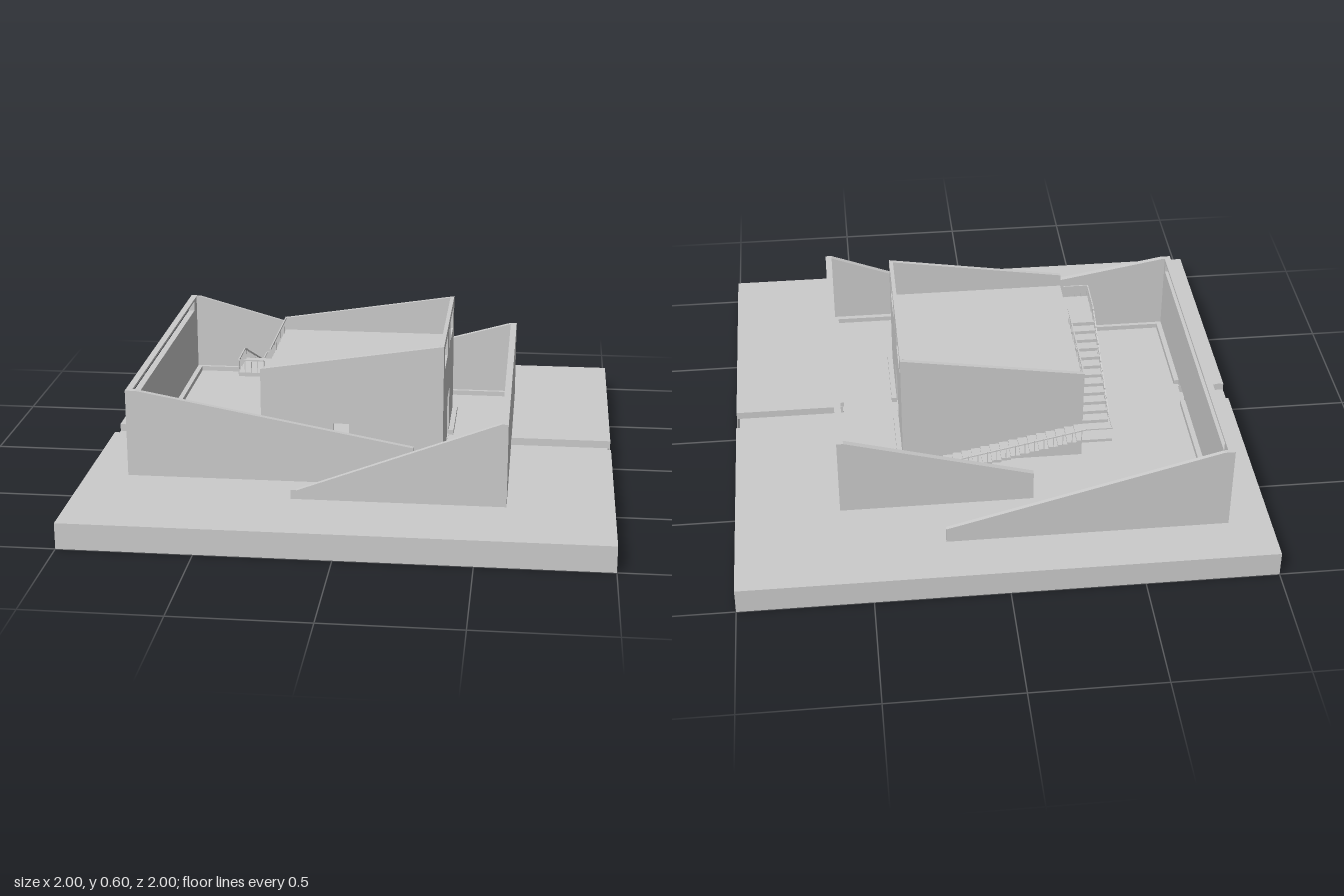
import * as THREE from 'three';

const material = new THREE.MeshStandardMaterial({ color: 0xcccccc, flatShading: true, side: THREE.DoubleSide });

export function createModel() {
  const root = new THREE.Group();

  const add = (name, geometry, parent = root) => {
    const mesh = new THREE.Mesh(geometry, material);
    mesh.name = name;
    parent.add(mesh);
    return mesh;
  };
  const group = (name) => {
    const g = new THREE.Group();
    g.name = name;
    root.add(g);
    return g;
  };
  const rect = (a, b, c, d) => [[a, c], [b, c], [b, d], [a, d]];
  const extrude = (pts, holes, depth, flip = 1) => {
    const v = (list) => list.map(([a, b]) => new THREE.Vector2(a * flip, b));
    const shape = new THREE.Shape(v(pts));
    holes.forEach((h) => shape.holes.push(new THREE.Path(v(h))));
    return new THREE.ExtrudeGeometry(shape, { depth, bevelEnabled: false });
  };
  // Wall outlined in (x, y), thick in z
  const wallX = (name, pts, z0, z1, holes = [], parent = root) =>
    add(name, extrude(pts, holes, z1 - z0).translate(0, 0, z0), parent);
  // Wall outlined in (z, y), thick in x
  const wallZ = (name, pts, x0, x1, holes = [], parent = root) =>
    add(name, extrude(pts, holes, x1 - x0, -1).rotateY(Math.PI / 2).translate(x0, 0, 0), parent);
  // Floor outlined in (x, z)
  const floor = (name, pts, top, thick, holes = [], parent = root) =>
    add(name, extrude(pts, holes, thick).rotateX(Math.PI / 2).translate(0, top, 0), parent);
  const box = (name, x0, x1, y0, y1, z0, z1, parent = root) =>
    add(name, new THREE.BoxGeometry(x1 - x0, y1 - y0, z1 - z0)
      .translate((x0 + x1) / 2, (y0 + y1) / 2, (z0 + z1) / 2), parent);
  const bar = (name, a, b, r, parent) => {
    const p = new THREE.Vector3(...a), q = new THREE.Vector3(...b);
    const m = add(name, new THREE.BoxGeometry(r, r, p.distanceTo(q)), parent);
    m.position.copy(p).lerp(q, 0.5);
    m.lookAt(q);
  };

  // Hollow ground slab with an approach channel on each side
  const ground = group('groundSlab');
  const t = 0.002, w = 0.05;
  floor('groundTop', [[-1, -1], [1, -1], [1, -w], [0.57, -w], [0.57, w], [1, w], [1, 1], [-1, 1],
    [-1, w], [-0.81, w], [-0.81, -w], [-1, -w]], 0.1, t, [], ground);
  for (const s of [-1, 1]) {
    wallX('groundEdge', rect(-1, 1, 0, 0.1), s > 0 ? 1 - t : -1, s > 0 ? 1 : -1 + t, [], ground);
    wallZ('groundEdge', [[-1, 0], [1, 0], [1, 0.1], [w, 0.1], [w, 0.07], [-w, 0.07], [-w, 0.1], [-1, 0.1]],
      s > 0 ? 1 - t : -1, s > 0 ? 1 : -1 + t, [], ground);
    box('channelSide', 0.57, 1, 0.07, 0.1, s * w - t / 2, s * w + t / 2, ground);
    box('channelSide', -1, -0.35, 0.07, 0.099, s * w - t / 2, s * w + t / 2, ground);
  }
  box('channelFloor', 0.57, 0.99, 0.068, 0.07, -w, w, ground);
  box('channelFloor', -1, -0.35, 0.068, 0.07, -w, w, ground);

  // Foundation ring below the house, open towards the right channel
  const base = group('foundation');
  box('foundationWall', -0.37, 0.37, 0, 0.098, 0.36, 0.37, base);
  box('foundationWall', -0.37, 0.37, 0, 0.098, -0.36, -0.35, base);
  box('foundationWall', -0.37, -0.36, 0, 0.098, -0.35, 0.36, base);
  box('foundationWall', 0.36, 0.37, 0, 0.098, -0.35, -0.06, base);
  box('foundationWall', 0.36, 0.37, 0, 0.098, 0.06, 0.36, base);

  // Outer walls: two U-shaped screens with sloping arms
  const outer = group('outerWalls');
  const passage = rect(-w, w, 0.1, 0.12);
  const gateWall = (z0, z1, h) =>
    [[z0, 0.1], [-w, 0.1], [-w, 0.12], [w, 0.12], [w, 0.1], [z1, 0.1], [z1, h], [z0, h]];
  wallZ('leftScreen', gateWall(-0.81, 0.51, 0.44), -0.84, -0.815, [rect(-0.74, 0.47, 0.39, 0.43)], outer);
  wallX('leftScreenFrontArm', [[-0.815, 0.1], [0.25, 0.1], [0.25, 0.25], [-0.8, 0.44], [-0.815, 0.44]], 0.49, 0.51, [], outer);
  wallX('leftScreenBackArm', [[-0.815, 0.1], [0.22, 0.1], [0.22, 0.16], [-0.8, 0.44], [-0.815, 0.44]], -0.81, -0.795, [], outer);
  wallZ('rightScreen', gateWall(-0.595, 0.685, 0.42), 0.58, 0.605, [], outer);
  wallX('rightScreenFrontArm', [[-0.18, 0.1], [0.58, 0.1], [0.58, 0.42], [-0.18, 0.13]], 0.665, 0.685, [], outer);
  wallX('rightScreenBackArm', [[-0.13, 0.1], [0.58, 0.1], [0.58, 0.42], [-0.13, 0.22]], -0.595, -0.575, [], outer);
  box('wallEndPost', -0.19, -0.17, 0.1, 0.135, 0.665, 0.685, outer);

  // Low kerbs along walls and house: x0, x1, z0, z1
  const kerbs = group('kerbs');
  [[-0.815, -0.795, -0.78, -0.07], [-0.815, -0.795, 0.065, 0.475],
    [-0.815, -0.295, 0.475, 0.49], [-0.28, 0.22, 0.475, 0.49],
    [-0.815, -0.295, -0.795, -0.78], [-0.28, 0.22, -0.795, -0.78],
    [0.565, 0.58, -0.56, -w], [0.565, 0.58, w, 0.645],
    [-0.17, 0.58, 0.645, 0.665], [-0.13, 0.58, -0.575, -0.56],
    [-0.38, 0.37, 0.35, 0.37], [-0.38, -0.35, 0.25, 0.35],
    [0.35, 0.37, 0.06, 0.35], [0.35, 0.37, -0.35, -0.06],
    [-0.025, -0.015, 0.37, 0.475],
  ].forEach(([x0, x1, z0, z1]) => box('kerb', x0, x1, 0.1, 0.12, z0, z1, kerbs));

  // House with sloping parapets and a sunken flat roof
  const house = group('house');
  const side = [[-0.35, 0.1], [0.35, 0.1], [0.35, 0.6], [-0.35, 0.49]];
  wallX('frontWall', side, 0.335, 0.35, [rect(-0.07, -0.01, 0.102, 0.28)], house);
  wallX('backWall', side, -0.35, -0.335, [], house);
  wallZ('rightWall', rect(-0.335, 0.335, 0.1, 0.6), 0.335, 0.35, [
    rect(0.09, 0.28, 0.485, 0.57), rect(-0.275, -0.085, 0.485, 0.57),
    rect(-0.015, 0.015, 0.485, 0.57), rect(-0.07, 0.07, 0.102, 0.3)], house);
  wallZ('leftWall', rect(-0.335, 0.335, 0.1, 0.44), -0.35, -0.335, [rect(0.17, 0.24, 0.102, 0.28)], house);
  floor('roof', rect(-0.335, 0.335, -0.335, 0.335), 0.44, 0.02, [], house);

  // Stair wrapping the back and left sides
  const stairs = group('stairs');
  const r = 0.003, railH = 0.05, turnY = 0.25;
  const backSteps = 19, leftSteps = 12;
  for (let i = 0; i < backSteps; i++) {
    const d = 0.69 / backSteps, x = 0.34 - i * d, y = 0.1 + (turnY - 0.1) * (i + 1) / backSteps;
    box('backTread', x - d, x, y - 0.012, y, -0.45, -0.35, stairs);
    bar('baluster', [x - d / 2, y, -0.449], [x - d / 2, y + railH, -0.449], r, stairs);
  }
  box('cornerLanding', -0.45, -0.35, turnY - 0.012, turnY, -0.45, -0.35, stairs);
  for (let i = 0; i < leftSteps; i++) {
    const d = 0.45 / leftSteps, z = -0.35 + i * d, y = turnY + (0.44 - turnY) * (i + 1) / leftSteps;
    box('leftTread', -0.45, -0.35, y - 0.014, y, z, z + d, stairs);
    bar('baluster', [-0.449, y, z + d / 2], [-0.449, y + railH, z + d / 2], r, stairs);
    bar('roofBaluster', [-0.349, 0.44, z], [-0.349, 0.49, z], r, stairs);
  }
  box('topLanding', -0.45, -0.35, 0.425, 0.44, 0.1, 0.25, stairs);
  for (let i = 0; i <= 4; i++) {
    const x = -0.449 + i * 0.0245, z = 0.1 + i * 0.037;
    bar('landingBaluster', [x, 0.44, 0.249], [x, 0.49, 0.249], r, stairs);
    bar('landingBaluster', [-0.449, 0.44, z], [-0.449, 0.49, z], r, stairs);
  }
  // Handrails follow the stair and the open roof edge
  const rail = [[0.34, 0.15, -0.449], [-0.35, 0.3, -0.449], [-0.449, 0.3, -0.449], [-0.449, 0.3, -0.35],
    [-0.449, 0.49, 0.1], [-0.449, 0.49, 0.249], [-0.351, 0.49, 0.249]];
  for (let i = 1; i < rail.length; i++) bar('handrail', rail[i - 1], rail[i], 0.005, stairs);
  bar('roofRail', [-0.349, 0.488, -0.35], [-0.349, 0.488, 0.1], 0.005, stairs);

  return root;
}
